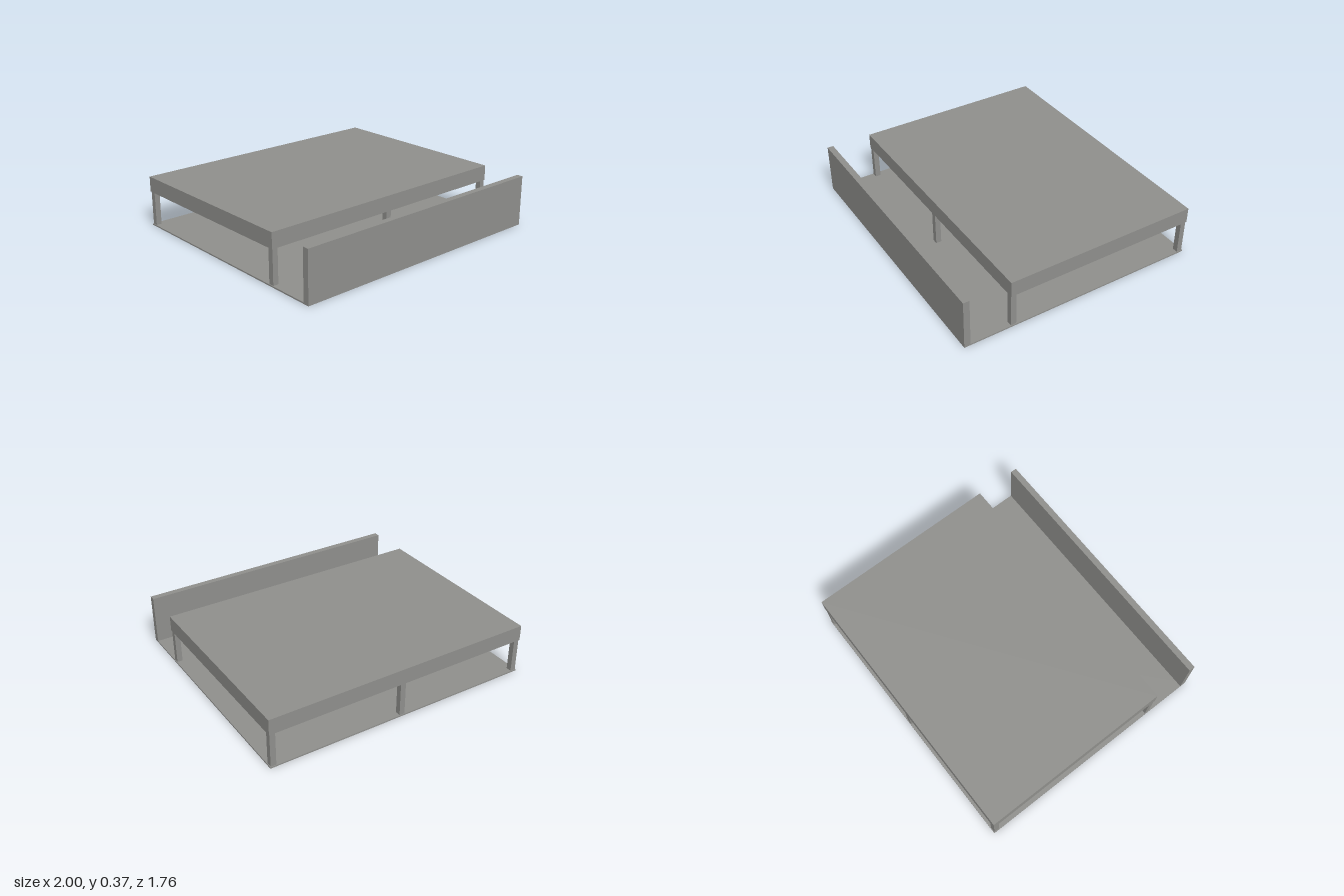
import * as THREE from 'three';

export function createModel() {
  const model = new THREE.Group();
  const concrete = new THREE.MeshStandardMaterial({ color: 0x8f8f8c });
  concrete.name = 'concrete grey';

  // Box given by its min and max corners
  const block = (name, [x0, y0, z0], [x1, y1, z1]) => {
    const mesh = new THREE.Mesh(new THREE.BoxGeometry(x1 - x0, y1 - y0, z1 - z0), concrete);
    mesh.position.set((x0 + x1) / 2, (y0 + y1) / 2, (z0 + z1) / 2);
    mesh.name = name;
    model.add(mesh);
  };

  const floorTop = 0.01, roofBottom = 0.257, top = 0.37, depth = 0.882;

  block('floorSlab', [-1, 0, -depth], [1, floorTop, depth]);
  block('roofSlab', [-1, roofBottom, -depth], [1, top, 0.541]);
  block('frontWall', [-1, floorTop, 0.837], [1, top, depth]);

  // Two rows of three posts under the roof
  const half = 0.02;
  for (const [row, z] of [['front', 0.518], ['back', -0.857]]) {
    for (const x of [-0.975, 0, 0.975]) {
      block(row + 'Post', [x - half, floorTop, z - half], [x + half, roofBottom, z + half]);
    }
  }
  return model;
}
